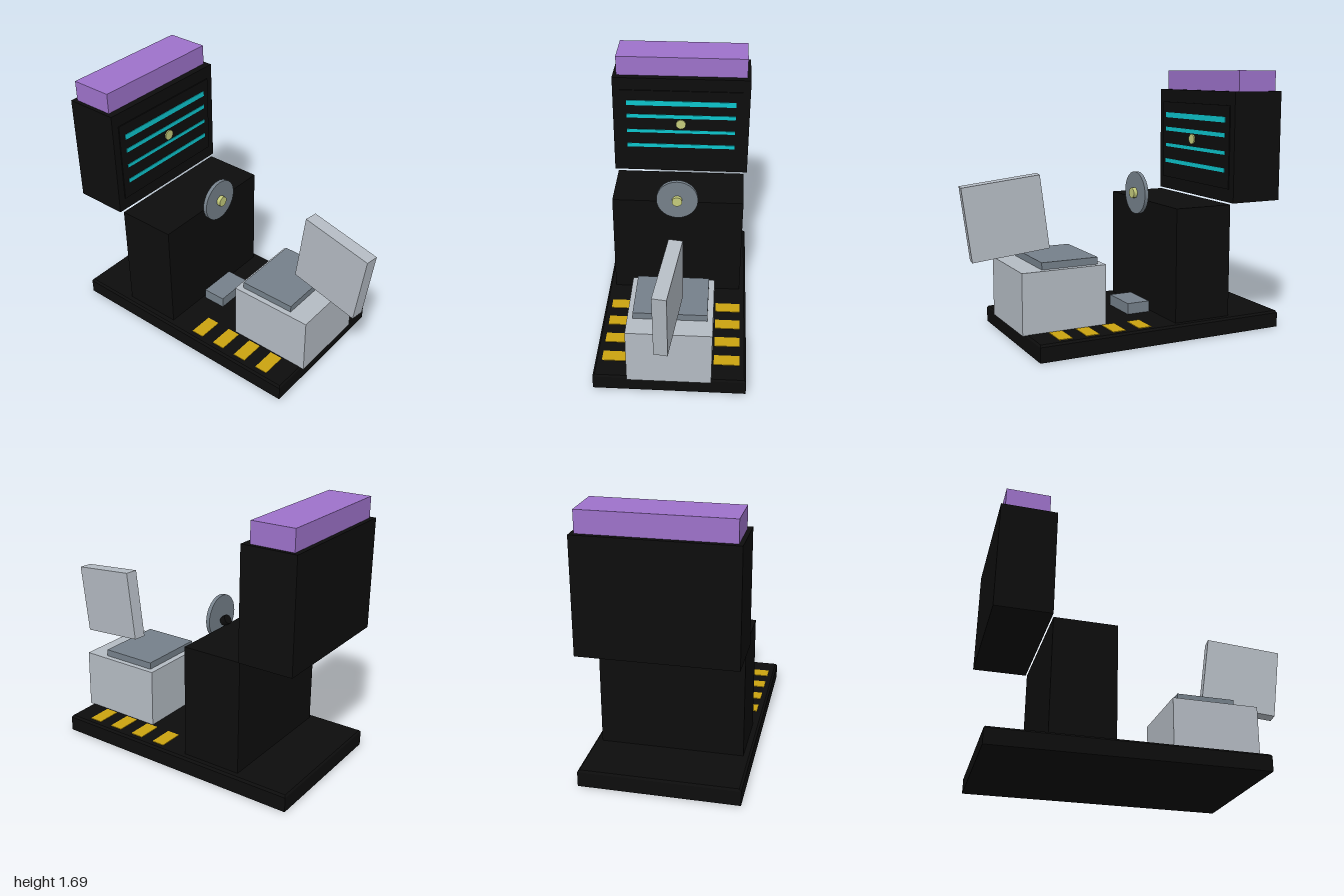
import * as THREE from 'three';

const mat = (name, color) => {
  const m = new THREE.MeshStandardMaterial({ color });
  m.name = name;
  return m;
};

export function createModel() {
  const black = mat('black', 0x0d0d0d);
  const lightGrey = mat('light grey', 0xb4bbc3);
  const slate = mat('slate grey', 0x75808a);
  const purple = mat('purple', 0x9d72ca);
  const cyan = mat('cyan', 0x0cc5cd);
  const gold = mat('gold', 0xcaa310);
  const paleYellow = mat('pale yellow', 0xc6cc7c);

  const model = new THREE.Group();
  model.name = 'racingCabinet';

  const add = (name, geometry, material) => {
    const mesh = new THREE.Mesh(geometry, material);
    mesh.name = name;
    model.add(mesh);
    return mesh;
  };
  // Box given by its ranges on each axis
  const box = (name, material, [x0, x1], [y0, y1], [z0, z1]) => {
    const mesh = add(name, new THREE.BoxGeometry(x1 - x0, y1 - y0, z1 - z0), material);
    mesh.position.set((x0 + x1) / 2, (y0 + y1) / 2, (z0 + z1) / 2);
    return mesh;
  };
  // Disc whose axis runs along z
  const disc = (name, material, radius, sides, y, z0, z1) => {
    const geometry = new THREE.CylinderGeometry(radius, radius, z1 - z0, sides).rotateX(Math.PI / 2);
    const mesh = add(name, geometry, material);
    mesh.position.set(0, y, (z0 + z1) / 2);
    return mesh;
  };

  // Floor platform with a chamfered top edge
  const platform = new THREE.BoxGeometry(0.98, 0.108, 1.69, 1, 2, 1);
  const p = platform.attributes.position;
  for (let i = 0; i < p.count; i++) {
    if (p.getY(i) > 0.01) {
      p.setX(i, p.getX(i) - Math.sign(p.getX(i)) * 0.013);
      p.setZ(i, p.getZ(i) - Math.sign(p.getZ(i)) * 0.008);
    } else if (p.getY(i) > -0.01) p.setY(i, 0.041);
  }
  const platformFlat = platform.toNonIndexed();
  platformFlat.computeVertexNormals();
  add('platform', platformFlat, black).position.set(0, 0.054, -0.155);

  // Hazard pads along both sides
  for (const side of [-1, 1]) {
    for (let i = 0; i < 4; i++) {
      const pad = box('floorPad', gold, [-0.083, 0.083], [0.106, 0.112], [-0.044, 0.044]);
      pad.position.x = side * 0.363;
      pad.position.z = -0.027 + i * 0.178;
    }
  }

  // Cabinet
  box('console', black, [-0.445, 0.445], [0.105, 0.84], [-0.64, -0.245]);
  box('displayHousing', black, [-0.47, 0.47], [0.85, 1.557], [-1, -0.645]);
  box('marquee', purple, [-0.445, 0.445], [1.557, 1.69], [-0.97, -0.69]);

  // Screen with scan lines and a round emblem
  box('screen', black, [-0.42, 0.42], [0.935, 1.47], [-0.646, -0.638]);
  for (const [y, h] of [[1.378, 0.036], [1.279, 0.027], [1.165, 0.023], [1.053, 0.027]]) {
    box('screenStripe', cyan, [-0.375, 0.375], [y - h / 2, y + h / 2], [-0.639, -0.634]);
  }
  disc('screenDot', paleYellow, 0.035, 10, 1.23, -0.626, -0.616);

  // Steering wheel, hub and tilted column
  disc('steeringWheel', slate, 0.14, 28, 0.89, -0.211, -0.186);
  disc('wheelHub', paleYellow, 0.035, 10, 0.89, -0.187, -0.16);
  const column = disc('steeringColumn', black, 0.031, 12, 0.868, -0.26, -0.218);
  column.rotation.x = 0.6;

  // Pedal block
  box('pedal', slate, [-0.13, 0.13], [0.105, 0.18], [-0.225, -0.068]);

  // Seat, with its tilted and slightly turned back panel
  box('seatBase', lightGrey, [-0.268, 0.268], [0.105, 0.492], [0.157, 0.715]);
  box('seatCushion', slate, [-0.232, 0.232], [0.49, 0.537], [0.198, 0.573]);
  const back = add('seatBack', new THREE.BoxGeometry(0.086, 0.47, 0.491), lightGrey);
  back.position.set(0, 0.79, 0.722);
  back.rotation.set(0.13, -0.13, 0);

  return model;
}
